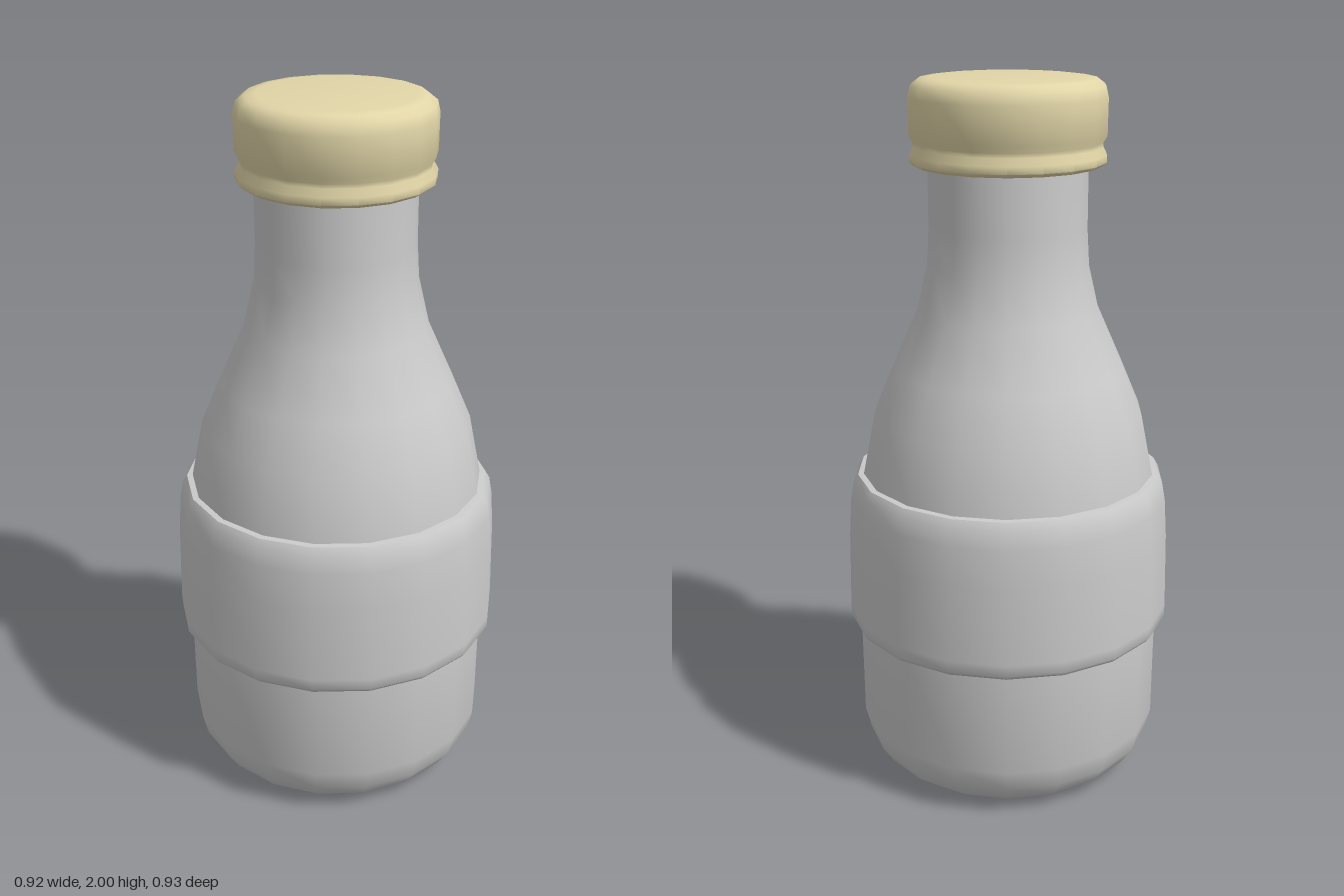
import * as THREE from 'three';
import { toCreasedNormals } from 'three/addons/utils/BufferGeometryUtils.js';

const SIDES = 18;
const glass = new THREE.MeshStandardMaterial({ color: 0xcccccc });
const capColor = new THREE.MeshStandardMaterial({ color: 0xe2d6a8 });

// Turned part from a bottom-to-top profile of [radius, height] pairs
function turned(name, profile, material) {
  const points = profile.map(([r, y]) => new THREE.Vector2(r, y));
  const geometry = toCreasedNormals(new THREE.LatheGeometry(points, SIDES), 0.95);
  const mesh = new THREE.Mesh(geometry, material);
  mesh.name = name;
  return mesh;
}

export function createModel() {
  const bottle = new THREE.Group();
  bottle.name = 'bottle';

  // Flat underside, kept separate for a crisp rim
  bottle.add(turned('base', [[0, 0], [0.31, 0]], glass));

  // Rounded foot, straight body, sloping shoulder and neck
  bottle.add(turned('body', [
    [0.31, 0], [0.35, 0.015], [0.39, 0.045], [0.42, 0.09], [0.435, 0.15],
    [0.437, 0.46], [0.43, 0.75], [0.416, 0.905], [0.381, 1.08], [0.326, 1.21],
    [0.255, 1.37], [0.225, 1.5], [0.219, 1.6], [0.219, 1.79],
  ], glass));

  // Raised band wrapped around the middle
  bottle.add(turned('labelBand', [
    [0.42, 0.455], [0.455, 0.455], [0.465, 0.468], [0.466, 0.5],
    [0.462, 0.72], [0.455, 0.83], [0.446, 0.88], [0.433, 0.902], [0.4, 0.905],
  ], glass));

  // Screw cap with a grooved lower ring
  bottle.add(turned('cap', [
    [0.2, 1.77], [0.255, 1.77], [0.268, 1.78], [0.268, 1.8], [0.257, 1.82],
    [0.257, 1.832], [0.268, 1.85], [0.269, 1.95], [0.262, 1.98],
    [0.24, 1.996], [0.21, 2], [0, 2],
  ], capColor));

  return bottle;
}
